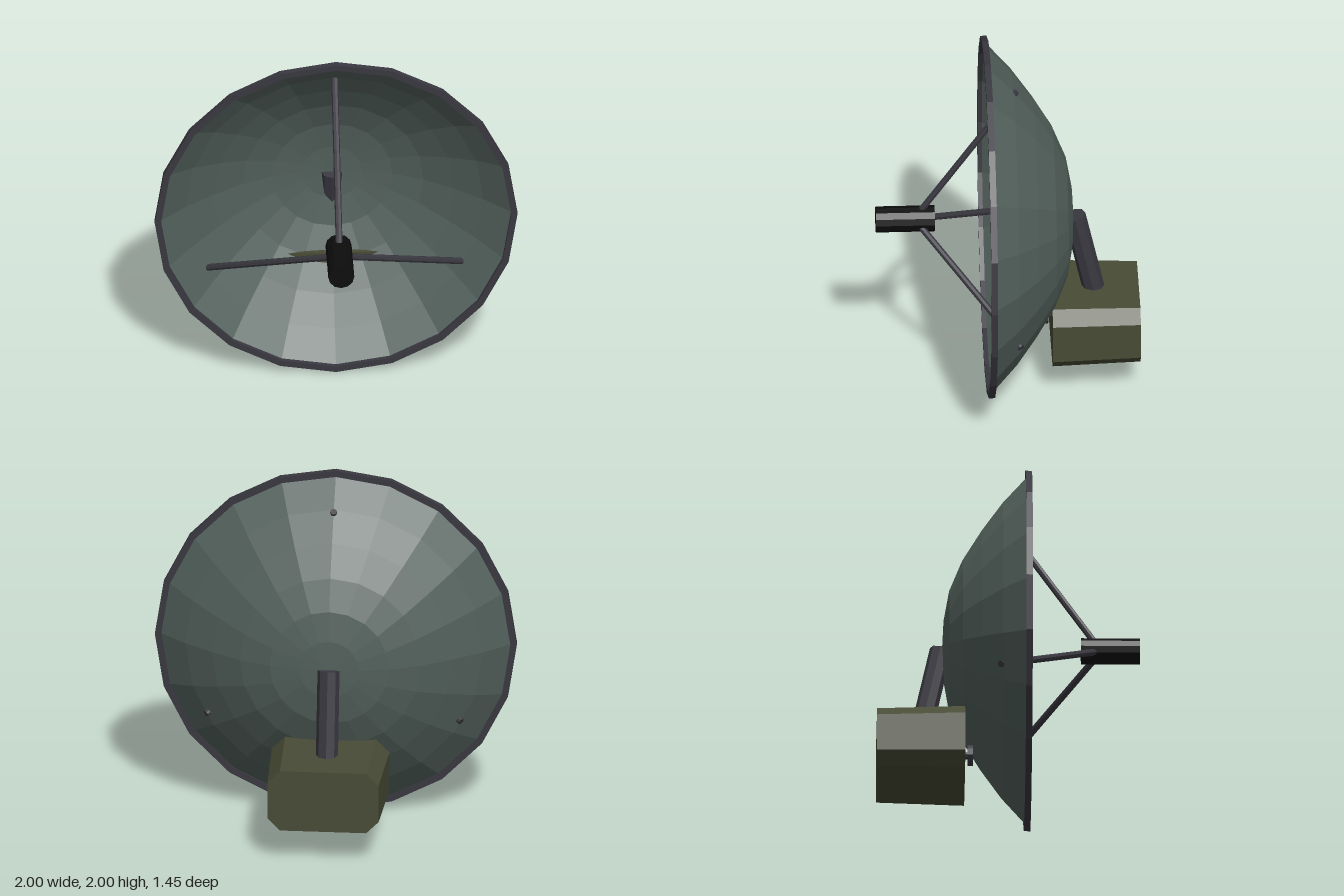
import * as THREE from 'three';

const mat = (name, color, extra = {}) =>
  new THREE.MeshStandardMaterial({ name, color, flatShading: true, ...extra });

export function createModel() {
  const model = new THREE.Group();
  model.name = 'satelliteDish';
  const dishGreen = mat('dishGreyGreen', 0x52605b, { side: THREE.DoubleSide });
  const metal = mat('darkMetal', 0x3a3840);
  const black = mat('feedBlack', 0x0d0d0d);
  const olive = mat('oliveHousing', 0x484b35);

  const add = (name, geometry, material) => {
    const mesh = new THREE.Mesh(geometry, material);
    mesh.name = name;
    model.add(mesh);
    return mesh;
  };

  // Solid rod between two points
  const rod = (name, from, to, radius, sides, material) => {
    const dir = to.clone().sub(from);
    const mesh = add(name, new THREE.CylinderGeometry(radius, radius, dir.length(), sides), material);
    mesh.position.copy(from).add(to).multiplyScalar(0.5);
    mesh.quaternion.setFromUnitVectors(new THREE.Vector3(0, 1, 0), dir.normalize());
    return mesh;
  };
  const v = (x, y, z) => new THREE.Vector3(x, y, z);

  // Profiles are [radius, z], spun around the forward axis
  const spin = (name, profile, material) => {
    const points = profile.map(([r, z]) => new THREE.Vector2(r, z));
    const mesh = add(name, new THREE.LatheGeometry(points, 20), material);
    mesh.rotation.x = Math.PI / 2;
    mesh.position.y = 1;
  };
  spin('bowl', [[0, -0.365], [0.165, -0.357], [0.33, -0.327], [0.5, -0.255],
    [0.665, -0.15], [0.82, -0.035], [0.965, 0.1]], dishGreen);
  spin('rim', [[0.965, 0.09], [1, 0.09], [1, 0.125], [0.965, 0.125], [0.965, 0.09]], metal);

  // Feed horn held by three struts
  rod('feedHorn', v(0, 1, 0.4), v(0, 1, 0.725), 0.072, 12, black);
  for (let i = 0; i < 3; i++) {
    const a = Math.PI / 2 + (i * Math.PI * 2) / 3;
    const at = (r, z) => v(Math.cos(a) * r, 1 + Math.sin(a) * r, z);
    rod('strut' + (i + 1), at(0.04, 0.485), at(0.815, -0.05), 0.019, 8, metal);
  }

  // Leaning support arm
  rod('supportArm', v(0, 1.0, -0.372), v(0, 0.45, -0.493), 0.061, 8, metal);

  // Chamfered housing, tapering slightly to the back
  const w = 0.325, h = 0.186, c = 0.073;
  const outline = new THREE.Shape([[w, -h + c], [w, h - c], [w - c, h], [-w + c, h],
    [-w, h - c], [-w, -h + c], [-w + c, -h], [w - c, -h]].map(([x, y]) => new THREE.Vector2(x, y)));
  const depth = 0.485;
  const box = new THREE.ExtrudeGeometry(outline, { depth, bevelEnabled: false });
  const p = box.attributes.position;
  for (let i = 0; i < p.count; i++) {
    const s = 0.945 + (0.055 * p.getZ(i)) / depth;
    p.setXY(i, p.getX(i) * s, p.getY(i) * s);
  }
  box.computeVertexNormals();
  add('housing', box, olive).position.set(0, 0.361, -0.725);

  // Adjusting knob on the housing front
  rod('knobStem', v(0, 0.362, -0.25), v(0, 0.362, -0.215), 0.022, 8, metal);
  rod('knob', v(0, 0.362, -0.225), v(0, 0.362, -0.195), 0.057, 10, metal);

  return model;
}
